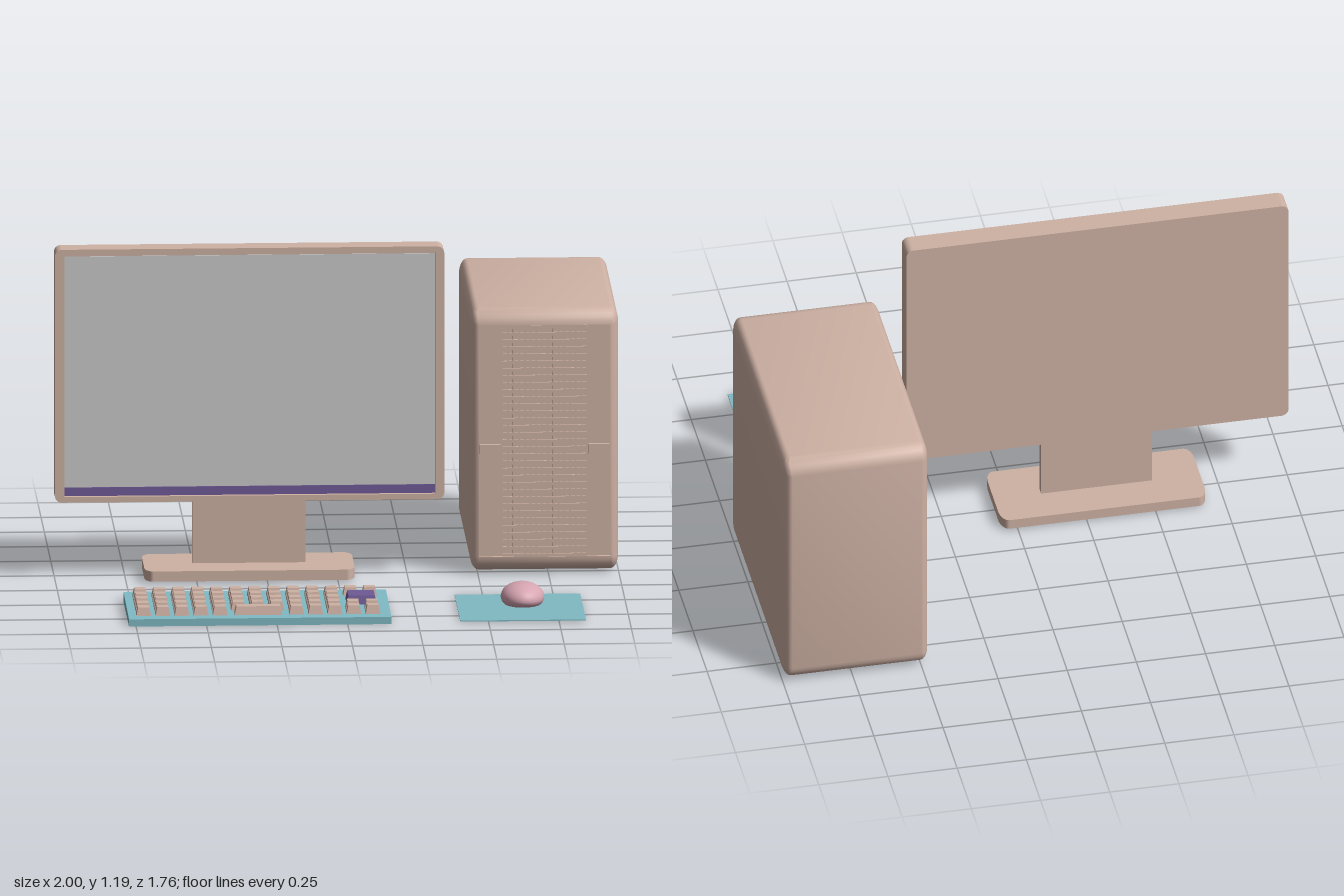
import * as THREE from 'three';
import { mergeGeometries, toCreasedNormals } from 'three/addons/utils/BufferGeometryUtils.js';

const material = (name, color) => Object.assign(new THREE.MeshStandardMaterial({ color }), { name });

// Box given by its min and max corners
function boxGeo(x0, x1, y0, y1, z0, z1) {
  return new THREE.BoxGeometry(x1 - x0, y1 - y0, z1 - z0)
    .translate((x0 + x1) / 2, (y0 + y1) / 2, (z0 + z1) / 2);
}

// Rectangle outline with elliptical corners
function roundedRect(x0, x1, y0, y1, rx, ry = rx) {
  const s = new THREE.Shape();
  s.moveTo(x0 + rx, y0);
  s.lineTo(x1 - rx, y0);
  s.absellipse(x1 - rx, y0 + ry, rx, ry, -Math.PI / 2, 0);
  s.absellipse(x1 - rx, y1 - ry, rx, ry, 0, Math.PI / 2);
  s.absellipse(x0 + rx, y1 - ry, rx, ry, Math.PI / 2, Math.PI);
  s.absellipse(x0 + rx, y0 + ry, rx, ry, Math.PI, Math.PI * 1.5);
  return s;
}

const extrude = (shape, depth) =>
  new THREE.ExtrudeGeometry(shape, { depth, bevelEnabled: false, curveSegments: 6 });

// Rounded case lofted from back to front, ending in a shallow front recess
function caseGeometry(hw, hh, hd, rx, r, recess) {
  const n = 6, rings = [], pos = [], idx = [];
  for (const side of [-1, 1]) {
    for (let i = 0; i <= n; i++) {
      const a = (side < 0 ? i - n : i) / n * Math.PI / 2;
      rings.push([Math.cos(a), side * (hd - r) + r * Math.sin(a)]);
    }
  }
  rings.push([0, hd - recess]);
  const count = 4 * (n + 1);
  for (const [k, z] of rings) {
    for (let c = 0; c < 4; c++) {
      const sx = c === 0 || c === 3 ? 1 : -1, sy = c < 2 ? 1 : -1;
      for (let i = 0; i <= n; i++) {
        const a = (c + i / n) * Math.PI / 2;
        pos.push(sx * (hw - rx) + rx * k * Math.cos(a), sy * (hh - r) + r * k * Math.sin(a), z);
      }
    }
  }
  const last = rings.length - 1, centre = rings.length * count;
  pos.push(0, 0, -hd, 0, 0, hd - recess);
  for (let j = 0; j < count; j++) {
    const j2 = (j + 1) % count;
    for (let i = 0; i < last; i++) {
      const a = i * count + j, b = i * count + j2;
      idx.push(a, b, b + count, a, b + count, a + count);
    }
    idx.push(j2, j, centre, last * count + j, last * count + j2, centre + 1);
  }
  const g = new THREE.BufferGeometry();
  g.setAttribute('position', new THREE.Float32BufferAttribute(pos, 3));
  g.setIndex(idx);
  return toCreasedNormals(g, 0.7);
}

// Keycap: a box whose top is drawn in
function keyGeometry(w, d, h) {
  const g = new THREE.BoxGeometry(w, h, d).translate(0, h / 2, 0);
  const p = g.attributes.position;
  for (let i = 0; i < p.count; i++) {
    if (p.getY(i) > h / 2) {
      p.setX(i, p.getX(i) - Math.sign(p.getX(i)) * 0.007);
      p.setZ(i, p.getZ(i) - Math.sign(p.getZ(i)) * 0.007);
    }
  }
  g.computeVertexNormals();
  return g;
}

export function createModel() {
  const beige = material('beige plastic', 0xceb1a4);
  const grey = material('screen grey', 0xcacaca);
  const purple = material('purple', 0x6e5a96);
  const teal = material('teal', 0x80bac4);
  const pink = material('pink', 0xd6a5b2);

  const model = new THREE.Group();
  const group = (name) => {
    const g = new THREE.Group();
    g.name = name;
    model.add(g);
    return g;
  };
  const add = (parent, name, geo, mat) => {
    const m = new THREE.Mesh(geo, mat);
    m.name = name;
    parent.add(m);
    return m;
  };

  // Monitor: back slab, raised bezel, screen and stand
  const monitor = group('monitor');
  const outline = () => roundedRect(-1, 0.38, 0.277, 1.192, 0.025);
  add(monitor, 'monitorBack', extrude(outline(), 0.06), beige).position.z = -0.022;
  const bezel = outline();
  bezel.holes.push(roundedRect(-0.965, 0.348, 0.297, 1.17, 0.001));
  add(monitor, 'bezel', extrude(bezel, 0.024), beige).position.z = 0.038;
  add(monitor, 'screen', boxGeo(-0.965, 0.348, 0.297, 1.163, 0.036, 0.042), grey);
  add(monitor, 'screenBar', boxGeo(-0.965, 0.348, 0.297, 0.328, 0.04, 0.045), purple);
  add(monitor, 'neck', boxGeo(-0.511, -0.111, 0.03, 0.29, 0.0, 0.03), beige);
  const foot = extrude(roundedRect(-0.685, 0.06, -0.165, 0.135, 0.03, 0.06), 0.037);
  add(monitor, 'foot', foot.rotateX(-Math.PI / 2), beige).position.y = 0.01;

  // Tower with a recessed front panel
  const tower = group('tower');
  add(tower, 'towerCase', caseGeometry(0.263, 0.4735, 0.473, 0.03, 0.055, 0.012), beige)
    .position.set(0.736, 0.4845, -0.412);

  // Ventilation grille of crossed bars
  const bars = [], gx0 = 0.586, gx1 = 0.886, gy0 = 0.07, gy1 = 0.896;
  const rows = 32, cols = 15;
  for (let i = 0; i <= rows; i++) {
    const y = gy0 + (gy1 - gy0) * i / rows;
    bars.push(boxGeo(gx0, gx1, y - 0.006, y + 0.006, 0.046, 0.058));
  }
  for (let i = 0; i <= cols; i++) {
    const x = gx0 + (gx1 - gx0) * i / cols;
    bars.push(boxGeo(x - 0.003, x + 0.003, gy0, gy1, 0.046, 0.055));
  }
  add(tower, 'grille', mergeGeometries(bars), beige);
  for (const [x0, x1] of [[0.506, 0.58], [0.892, 0.966]]) {
    add(tower, 'panelTab', boxGeo(x0, x1, 0.437, 0.472, 0.045, 0.064), beige);
  }

  // Keyboard: wedge body with rows of tapered keys
  const keyboard = group('keyboard');
  const slope = (z) => 0.026 + (0.88 - z) / 0.425 * 0.01;
  const body = boxGeo(-0.775, 0.155, 0, 0.03, 0.455, 0.88);
  const p = body.attributes.position;
  for (let i = 0; i < p.count; i++) if (p.getY(i) > 0.01) p.setY(i, slope(p.getZ(i)));
  body.computeVertexNormals();
  add(keyboard, 'keyboardBody', body, teal);

  const key = keyGeometry(0.054, 0.054, 0.034), pitch = 0.0677;
  const colX = (c) => -0.72 + c * pitch, rowZ = (r) => 0.53 + r * 0.069;
  const place = (name, geo, mat, x, z) =>
    add(keyboard, name, geo, mat).position.set(x, slope(z) - 0.004, z);
  for (let r = 0; r < 5; r++) {
    for (let c = 0; c < 13; c++) {
      const enterSpot = c > 10 && (r === 1 || r === 2);
      const spaceSpot = r === 4 && c > 4 && c < 8;
      if (!enterSpot && !spaceSpot) place('key', key, beige, colX(c), rowZ(r));
    }
  }
  place('spaceBar', keyGeometry(0.17, 0.054, 0.034), beige, colX(6), rowZ(4));
  place('enterKey', keyGeometry(0.108, 0.108, 0.034), purple, colX(11.5), rowZ(1.5));

  // Mouse pad
  add(model, 'mousePad', boxGeo(0.4, 0.845, 0.003, 0.007, 0.42, 0.865), teal);

  // Mouse: flattened dome, fuller towards the rear
  const mouse = group('mouse');
  const dome = new THREE.SphereGeometry(1, 32, 24);
  const q = dome.attributes.position;
  for (let i = 0; i < q.count; i++) {
    const x = q.getX(i), y = q.getY(i), z = q.getZ(i);
    const height = y > 0 ? y * 0.052 * (1 + 0.12 * z) : Math.max(y * 0.045, -0.024);
    q.setXYZ(i, x * 0.077 * (1 + 0.08 * z), height, z * 0.112);
  }
  dome.computeVertexNormals();
  add(mouse, 'mouseBody', dome, pink).position.set(0.632, 0.038, 0.598);
  const wheel = new THREE.CylinderGeometry(0.012, 0.012, 0.011, 16).rotateZ(Math.PI / 2);
  add(mouse, 'mouseWheel', wheel, pink).position.set(0.63, 0.056, 0.506);

  return model;
}
